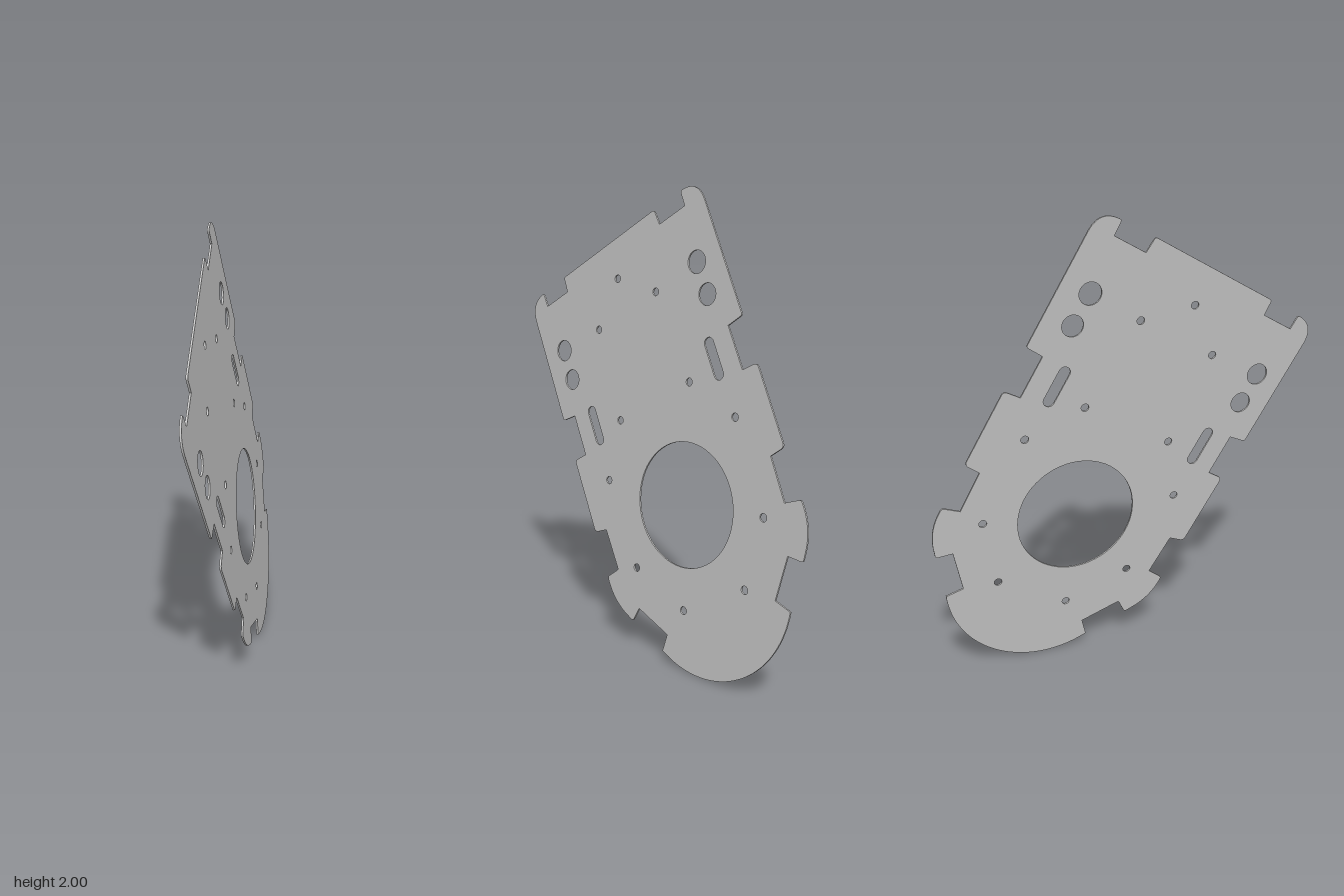
import * as THREE from 'three';

const THICKNESS = 0.008;

// Right half of the outline, top to bottom: [x, y, corner radius]
const HALF = [
  [0.32, 1.212, 0.012], [0.325, 1.141, 0], [0.483, 1.141, 0], [0.485, 1.208, 0.012], // top tab and notch
  [0.589, 1.207, 0.1], [0.589, 0.6, 0.012],                                          // rounded ear
  [0.507, 0.592, 0], [0.507, 0.401, 0],                                              // side notch
  [0.586, 0.399, 0.02], [0.584, 0.05, 0.02],                                         // side tab
  [0.509, 0.04, 0], [0.503, -0.148, 0],                                              // lower notch
  [0.583, -0.16, 0.012], [0.588, -0.27, 0.1], [0.501, -0.384, 0.012],                // curved tab
  [0.44, -0.342, 0], [0.315, -0.487, 0], [0.37, -0.545, 0],                          // notch beside the lobe
];
const LOBE_Y = -0.292;

function outline() {
  const points = [...HALF, ...HALF.map(([x, y, r]) => [-x, y, r]).reverse()];
  const shape = new THREE.Shape();
  const vec = ([x, y]) => new THREE.Vector2(x, y);
  points.forEach((p, i) => {
    const corner = vec(p);
    const toward = (q) => corner.clone().add(vec(q).sub(corner).setLength(p[2]));
    const a = toward(points[(i + points.length - 1) % points.length]);
    const b = toward(points[(i + 1) % points.length]);
    if (i === 0) shape.moveTo(a.x, a.y);
    else if (i !== HALF.length) shape.lineTo(a.x, a.y);
    if (p[2] > 0) shape.quadraticCurveTo(corner.x, corner.y, b.x, b.y);
    // Round lobe at the bottom
    if (i === HALF.length - 1) {
      const start = Math.atan2(p[1] - LOBE_Y, p[0]);
      shape.absarc(0, LOBE_Y, Math.hypot(p[0], p[1] - LOBE_Y), start, -Math.PI - start, true);
    }
  });
  shape.closePath();
  return shape;
}

function circle(x, y, r) {
  return new THREE.Path().absarc(x, y, r, 0, Math.PI * 2, false);
}

function slot(x, y, halfLength, r) {
  const path = new THREE.Path();
  const d = halfLength - r;
  path.absarc(x, y + d, r, 0, Math.PI, false);
  path.absarc(x, y - d, r, Math.PI, Math.PI * 2, false);
  path.closePath();
  return path;
}

export function createModel() {
  const metal = new THREE.MeshStandardMaterial({ color: 0xc6c6c6 });
  metal.name = 'light grey';

  const shape = outline();
  // Large opening and the single screw hole on the axis
  shape.holes.push(circle(0, 0, 0.266), circle(0.005, 1.045, 0.017));
  // Mirrored holes and slots
  for (const side of [-1, 1]) {
    shape.holes.push(
      circle(side * 0.454, 0.9, 0.048),
      circle(side * 0.455, 0.754, 0.046),
      slot(side * 0.387, 0.5, 0.092, 0.025),
    );
    for (const [x, y] of [[0.195, 0.89], [0.225, 0.464], [0.4, 0.242], [0.383, -0.171], [0.18, -0.412]]) {
      shape.holes.push(circle(side * x, y, 0.017));
    }
  }

  const geometry = new THREE.ExtrudeGeometry(shape, {
    depth: THICKNESS, bevelEnabled: false, curveSegments: 32,
  });
  geometry.translate(0, 0, -THICKNESS / 2);

  // Lean the plate into place
  const up = new THREE.Vector3(0.144, 0.869, 0.473).normalize();
  const normal = new THREE.Vector3(-0.452, 0.4835, -0.749).cross(up).normalize();
  const across = up.clone().cross(normal);
  geometry.applyMatrix4(new THREE.Matrix4().makeBasis(across, up, normal).setPosition(-0.072, 0.705, -0.208));

  const plate = new THREE.Mesh(geometry, metal);
  plate.name = 'mountingPlate';
  const group = new THREE.Group();
  group.name = 'chassisPlate';
  group.add(plate);
  return group;
}
